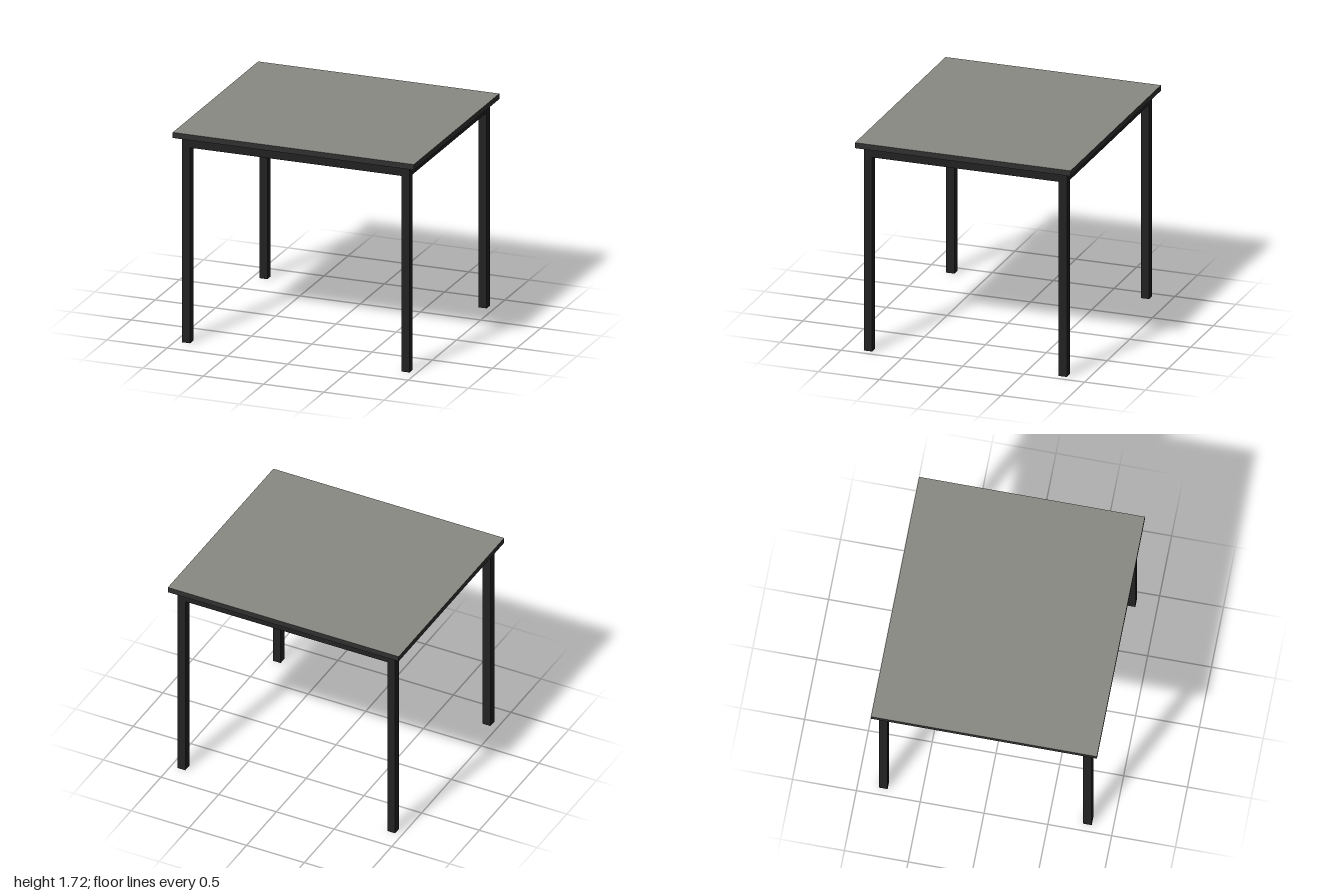
import * as THREE from 'three';

export function createModel() {
  const model = new THREE.Group();
  const paint = (color) => new THREE.MeshStandardMaterial({ color });
  const frame = paint(0x222222);
  const edge = paint(0x303030);
  const surface = paint(0x8a8983);

  const addBox = (name, size, position, material) => {
    const mesh = new THREE.Mesh(new THREE.BoxGeometry(...size), material);
    mesh.name = name;
    mesh.position.set(...position);
    model.add(mesh);
  };

  // Grey board with a dark edge band
  addBox('tabletop', [2, 0.045, 1.77], [0, 1.7, 0],
    [edge, edge, surface, surface, edge, edge]);

  // Solid support under the board, flush with the outside of the legs
  addBox('apron', [1.886, 0.081, 1.666], [0, 1.637, 0], frame);

  // Square legs, one per corner, running up to the apron
  const legHeight = 1.597, legWidth = 0.067;
  for (const [sideName, sx] of [['Left', 1], ['Right', -1]]) {
    for (const [endName, sz] of [['front', 1], ['back', -1]]) {
      addBox(`${endName}${sideName}Leg`, [legWidth, legHeight, legWidth],
        [sx * (0.943 - legWidth / 2), legHeight / 2, sz * (0.833 - legWidth / 2)], frame);
    }
  }

  return model;
}
